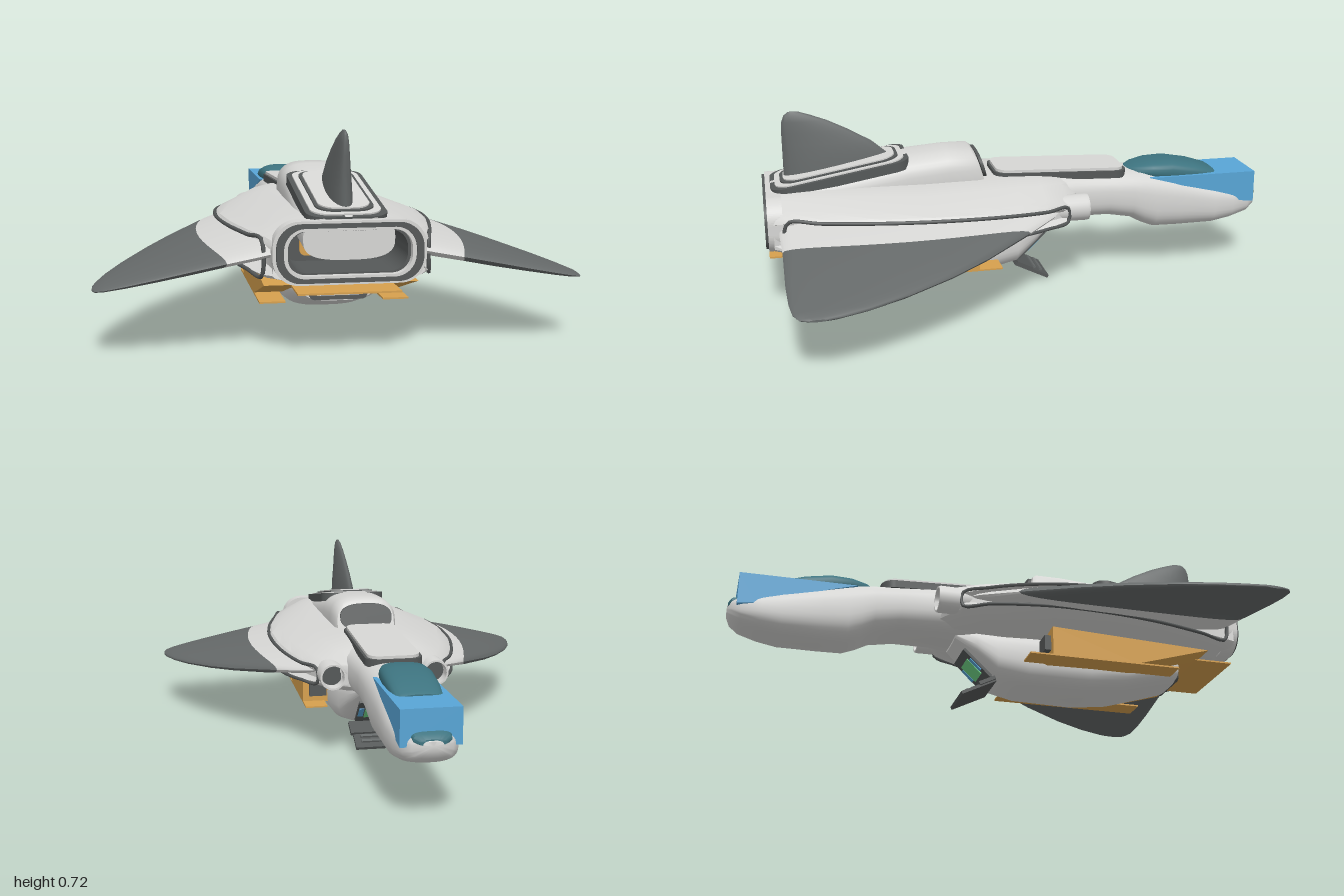
import * as THREE from 'three';
import { toCreasedNormals } from 'three/addons/utils/BufferGeometryUtils.js';

const paint = (name, color) => {
  const m = new THREE.MeshStandardMaterial({ color, side: THREE.DoubleSide });
  m.name = name;
  return m;
};

// Skin a row of closed cross-sections; ends are closed with fans when asked.
function loft(sections, capStart = true, capEnd = true, crease = 0.7) {
  const n = sections[0].length, pos = [], idx = [];
  sections.forEach(s => s.forEach(p => pos.push(...p)));
  for (let i = 0; i < sections.length - 1; i++)
    for (let j = 0; j < n; j++) {
      const a = i * n + j, b = i * n + (j + 1) % n;
      idx.push(a, a + n, b, b, a + n, b + n);
    }
  const cap = (row, flip) => {
    const c = pos.length / 3;
    pos.push(...[0, 1, 2].map(k => sections[row].reduce((t, p) => t + p[k], 0) / n));
    for (let j = 0; j < n; j++) {
      const a = row * n + j, b = row * n + (j + 1) % n;
      idx.push(c, flip ? b : a, flip ? a : b);
    }
  };
  if (capStart) cap(0, false);
  if (capEnd) cap(sections.length - 1, true);
  const g = new THREE.BufferGeometry();
  g.setAttribute('position', new THREE.Float32BufferAttribute(pos, 3));
  g.setIndex(idx);
  return toCreasedNormals(g, crease);
}

// Mirror a geometry across x, keeping faces outward.
function mirrored(geo) {
  const src = geo.index ? geo.toNonIndexed() : geo, g = new THREE.BufferGeometry();
  for (const key of ['position', 'normal']) {
    const a = src.attributes[key], out = [];
    for (let i = 0; i < a.count; i += 3)
      for (const k of [i, i + 2, i + 1]) out.push(-a.getX(k), a.getY(k), a.getZ(k));
    g.setAttribute(key, new THREE.Float32BufferAttribute(out, 3));
  }
  return g;
}

// Superellipse section, clockwise from the top; lean tilts it along z.
function oval(z, w, top, bot, e = 2.6, lean = 0, n = 40) {
  const pts = [], f = v => Math.sign(v) * Math.abs(v) ** (2 / e);
  for (let j = 0; j < n; j++) {
    const t = j / n * Math.PI * 2, y = f(Math.cos(t)) * (top - bot) / 2;
    pts.push([w * f(Math.sin(t)), (top + bot) / 2 + y, z + lean * y]);
  }
  return pts;
}
const ovals = (rows, e) => loft(rows.map(([z, w, t, b, lean]) => oval(z, w, t, b, e, lean)));

function roundRect(w, h, r, Type = THREE.Shape) {
  const s = new Type(), x = w / 2, y = h / 2;
  s.absarc(x - r, y - r, r, 0, Math.PI / 2);
  s.absarc(-x + r, y - r, r, Math.PI / 2, Math.PI);
  s.absarc(-x + r, -y + r, r, Math.PI, Math.PI * 1.5);
  s.absarc(x - r, -y + r, r, Math.PI * 1.5, Math.PI * 2);
  s.closePath();
  return s;
}
const extrude = (shape, depth) =>
  new THREE.ExtrudeGeometry(shape, { depth, bevelEnabled: false, curveSegments: 10 });
function ring(w, h, r, iw, ih, ir, depth) {
  const s = roundRect(w, h, r);
  s.holes.push(roundRect(iw, ih, ir, THREE.Path));
  return extrude(s, depth);
}
// Extrude a (z, y) side profile across x.
function sideProfile(points, x0, x1) {
  const g = extrude(new THREE.Shape(points.map(([z, y]) => new THREE.Vector2(-z, y))), x1 - x0);
  return g.rotateY(Math.PI / 2).translate(x0, 0, 0);
}

// Hull stations: z, half width, top, bottom, pocket upper edge, lower edge, pocket depth
const HULL = [
  [-0.2, 0.14, 0.42, 0.28, 0.36, 0.30, 1], [-0.14, 0.25, 0.435, 0.26, 0.35, 0.30, 0.95],
  [-0.05, 0.30, 0.445, 0.25, 0.357, 0.295, 0.9], [0.05, 0.335, 0.45, 0.24, 0.364, 0.29, 0.85],
  [0.2, 0.365, 0.45, 0.24, 0.372, 0.285, 0.8], [0.4, 0.375, 0.45, 0.24, 0.378, 0.278, 0.78],
  [0.6, 0.355, 0.455, 0.24, 0.38, 0.274, 0.78], [0.8, 0.31, 0.457, 0.24, 0.38, 0.27, 0.8],
  [0.92, 0.275, 0.455, 0.242, 0.378, 0.27, 0.87], [0.97, 0.25, 0.45, 0.245, 0.37, 0.275, 1]];
function hullSection([z, w, t, b, u, l, d]) {
  const mix = THREE.MathUtils.lerp;
  const half = [[0.4, t], [0.62, mix(t, u, 0.18)], [0.85, mix(t, u, 0.6)], [0.97, u + 0.015], [1, u],
    [d, u - 0.015], [d, l + 0.015], [1, l], [0.95, l - 0.01], [0.75, mix(b, l, 0.3)], [0.5, b]];
  return [[0, t, z], ...half.map(([x, y]) => [x * w, y, z]), [0, b, z],
    ...half.reverse().map(([x, y]) => [-x * w, y, z])];
}

// Wing section: span x, bow of the chord line, leading z, trailing z, half thickness
function wingSection([x, bow, le, te, th]) {
  const pts = [], n = 32;
  for (let j = 0; j < n; j++) {
    const t = j / n * Math.PI * 2, z = (le + te) / 2 - Math.cos(t) * (te - le) / 2;
    const px = x - bow * (z - 0.5) ** 2;
    pts.push([px, 0.33 - 0.2 * (px - 0.3) + th * Math.sin(t), z]);
  }
  return pts.reverse();
}

export function createModel() {
  const model = new THREE.Group();
  const hull = paint('hull grey', 0xd6d6d4), dark = paint('wing grey', 0x656969);
  const trim = paint('trim grey', 0x555858), glass = paint('canopy teal', 0x3d737f);
  const blue = paint('nose blue', 0x58a5d6), orange = paint('thruster orange', 0xd6a04e);
  const green = paint('bay green', 0x6fd486);
  const add = (name, geo, mat, x = 0, y = 0, z = 0, rx = 0) => {
    const m = new THREE.Mesh(geo, mat);
    m.name = name;
    m.position.set(x, y, z);
    m.rotation.x = rx;
    model.add(m);
    return m;
  };
  const pair = (name, geo, mat) => {
    add(name + 'Left', geo, mat);
    add(name + 'Right', mirrored(geo), mat);
  };

  // Main body, neck and belly
  add('hull', loft(HULL.map(hullSection), true, false, 0.6), hull);
  add('neck', ovals([[-1, 0.03, 0.3, 0.265], [-0.985, 0.07, 0.315, 0.238], [-0.95, 0.095, 0.325, 0.215],
    [-0.88, 0.112, 0.34, 0.195], [-0.8, 0.12, 0.36, 0.18], [-0.65, 0.122, 0.4, 0.178],
    [-0.55, 0.125, 0.42, 0.18], [-0.5, 0.126, 0.427, 0.2], [-0.45, 0.128, 0.43, 0.228],
    [-0.35, 0.13, 0.435, 0.247], [-0.2, 0.14, 0.443, 0.25], [-0.1, 0.17, 0.448, 0.24],
    [0.05, 0.22, 0.45, 0.24]], 2.8), hull);
  add('belly', ovals([[-0.13, 0.08, 0.27, 0.235], [-0.05, 0.12, 0.28, 0.16], [0.03, 0.14, 0.28, 0.085],
    [0.15, 0.155, 0.28, 0.06], [0.4, 0.165, 0.28, 0.057], [0.55, 0.165, 0.27, 0.078],
    [0.72, 0.155, 0.27, 0.13], [0.78, 0.125, 0.26, 0.145]], 3), hull);
  add('bellyVent', ring(0.2, 0.05, 0.02, 0.16, 0.025, 0.012, 0.012), trim, 0, 0.175, 0.778);

  // Wing roots, outer wings and the trim around their pockets
  const joint = [0.455, 0.33, 0.04, 0.945, 0.042];
  pair('wingRoot', loft([[0.22, 0, -0.13, 0.95, 0.045], [0.3, 0.05, -0.08, 0.95, 0.046], joint]
    .map(wingSection)), hull);
  pair('wing', loft([joint, [0.55, 0.2, 0.23, 0.945, 0.037], [0.63, 0.1, 0.37, 0.945, 0.03],
    [0.72, 0.03, 0.54, 0.94, 0.021], [0.775, 0, 0.67, 0.93, 0.014], [0.805, 0, 0.77, 0.91, 0.009],
    [0.815, 0, 0.82, 0.88, 0.004]].map(wingSection)), dark);
  const edge = HULL.slice(1, 9);
  const rim = new THREE.CatmullRomCurve3([
    ...edge.map(([z, w, , , u]) => new THREE.Vector3(w, u + 0.003, z)),
    ...edge.map(([z, w, , , , l]) => new THREE.Vector3(w, l - 0.003, z)).reverse()], true);
  pair('pocketTrim', new THREE.TubeGeometry(rim, 120, 0.007, 6, true), trim);

  // Spine with forward intake
  add('spine', ovals([[0.165, 0.118, 0.553, 0.37, 0.3], [0.185, 0.127, 0.562, 0.36, 0.2],
    [0.3, 0.13, 0.562, 0.35], [0.45, 0.135, 0.55, 0.34], [0.7, 0.145, 0.506, 0.33],
    [0.97, 0.15, 0.459, 0.32]], 3), hull);
  add('intake', loft([oval(0.158, 0.107, 0.546, 0.44, 2.6, 0.3), oval(0.17, 0.107, 0.546, 0.44, 2.6, 0.3)]), trim);

  // Raised panel on the back
  const tilt = Math.PI / 2;
  const plate = (name, w, len, r, mat, y, z, slope, depth = 0.03) =>
    add(name, extrude(roundRect(w, len, r), depth).translate(0, 0, -depth), mat, 0, y, z, -tilt + slope);
  plate('backPanelTrim', 0.215, 0.54, 0.05, trim, 0.453, -0.155, -0.04);
  plate('backPanel', 0.196, 0.52, 0.045, hull, 0.464, -0.155, -0.04);

  // Stepped fin base on the sloping spine
  [[0.27, 0.53, trim], [0.235, 0.495, hull], [0.195, 0.455, trim], [0.172, 0.43, hull]].forEach(
    ([w, len, mat], i) => plate('finBase' + i, w, len, 0.06, mat, 0.504 + i * 0.005, 0.71, 0.172, 0.035));

  // Tail fin: y, leading z, trailing z, half thickness
  add('fin', loft([[0.46, 0.49, 0.917, 0.05], [0.54, 0.51, 0.917, 0.044], [0.6, 0.58, 0.917, 0.034],
    [0.65, 0.665, 0.917, 0.026], [0.69, 0.745, 0.915, 0.019], [0.715, 0.81, 0.905, 0.013],
    [0.728, 0.85, 0.89, 0.005]].map(([y, le, te, th]) =>
    Array.from({ length: 24 }, (_, j) => {
      const t = j / 24 * Math.PI * 2, c = Math.cos(t);
      return [th * Math.sin(t) * (0.8 + 0.25 * c), y, (le + te) / 2 + c * (te - le) / 2];
    }))), dark);

  // Main engine nozzle
  add('nozzleShell', ring(0.5, 0.206, 0.085, 0.45, 0.17, 0.075, 0.055), hull, 0, 0.347, 0.935);
  add('nozzleTrim', ring(0.478, 0.19, 0.08, 0.43, 0.162, 0.07, 0.012), trim, 0, 0.347, 0.988);
  add('nozzleLip', ring(0.43, 0.162, 0.07, 0.405, 0.145, 0.062, 0.045), hull, 0, 0.347, 0.95);
  add('nozzleDuct', ring(0.405, 0.145, 0.062, 0.385, 0.134, 0.058, 0.22), trim, 0, 0.347, 0.75);
  add('nozzleBack', extrude(roundRect(0.4, 0.144, 0.06), 0.01), trim, 0, 0.347, 0.75);
  add('nozzleGlow', extrude(roundRect(0.26, 0.08, 0.02), 0.008), orange, 0, 0.34, 0.762);

  // Under-body thrusters
  pair('thruster', sideProfile([[0.21, 0.247], [0.85, 0.218], [0.55, 0.13], [0.21, 0.13]], 0.15, 0.26), orange);
  pair('thrusterPlate', new THREE.BoxGeometry(0.09, 0.006, 0.6).translate(0.215, 0.131, 0.42), orange);
  pair('thrusterBracket', new THREE.BoxGeometry(0.07, 0.06, 0.03).translate(0.2, 0.19, 0.2), trim);
  add('tailPlate', new THREE.BoxGeometry(0.34, 0.006, 0.17), orange, 0, 0.215, 0.905);
  add('tailRamp', sideProfile([[0.7, 0.245], [0.84, 0.245], [0.84, 0.212], [0.7, 0.2]], -0.17, 0.17), orange);

  // Forward side pods, open at the front
  const podProfile = [[0.05, 0], [0.052, 0.32], [0.05, 0.33], [0.043, 0.33], [0.04, 0.27]]
    .map(p => new THREE.Vector2(...p));
  pair('pod', toCreasedNormals(new THREE.LatheGeometry(podProfile, 28), 0.6)
    .rotateX(-tilt).translate(0.2, 0.337, 0.1), hull);
  pair('podMouth', new THREE.CylinderGeometry(0.042, 0.042, 0.01, 28).rotateX(tilt).translate(0.2, 0.337, -0.18), trim);

  // Cockpit and nose
  add('canopy', ovals([[-0.812, 0.07, 0.408, 0.37], [-0.8, 0.083, 0.416, 0.36], [-0.72, 0.091, 0.442, 0.36],
    [-0.62, 0.093, 0.46, 0.37], [-0.54, 0.088, 0.457, 0.38], [-0.48, 0.07, 0.445, 0.39],
    [-0.45, 0.045, 0.435, 0.4], [-0.438, 0.02, 0.428, 0.41]], 2.8), glass);
  add('noseBlock', sideProfile([[-0.968, 0.403], [-0.52, 0.403], [-0.62, 0.375], [-0.9, 0.283],
    [-0.968, 0.275]], -0.105, 0.105), blue);
  add('noseWindow', ovals([[-0.998, 0.045, 0.306, 0.285], [-0.985, 0.065, 0.321, 0.285],
    [-0.955, 0.07, 0.33, 0.285]], 3), glass);

  // Belly bay and its lowered ramp
  add('bayOpening', new THREE.BoxGeometry(0.15, 0.012, 0.15), trim, 0, 0.148, -0.038, 0.76);
  add('bayCore', new THREE.BoxGeometry(0.09, 0.014, 0.08), green, 0, 0.147, -0.041, 0.76);
  pair('bayLight', new THREE.BoxGeometry(0.02, 0.014, 0.06).rotateX(0.76).translate(0.06, 0.147, -0.041), blue);
  add('ramp', new THREE.BoxGeometry(0.18, 0.012, 0.15), trim, 0, 0.044, -0.036, -0.46);
  add('rampStep', new THREE.BoxGeometry(0.2, 0.014, 0.07), trim, 0, 0.068, -0.005, -0.46);
  for (let i = 0; i < 4; i++)
    add('rampTread' + i, new THREE.BoxGeometry(0.13, 0.008, 0.012), dark, 0, 0.034 + i * 0.013, -0.078 + i * 0.026, -0.46);
  return model;
}
